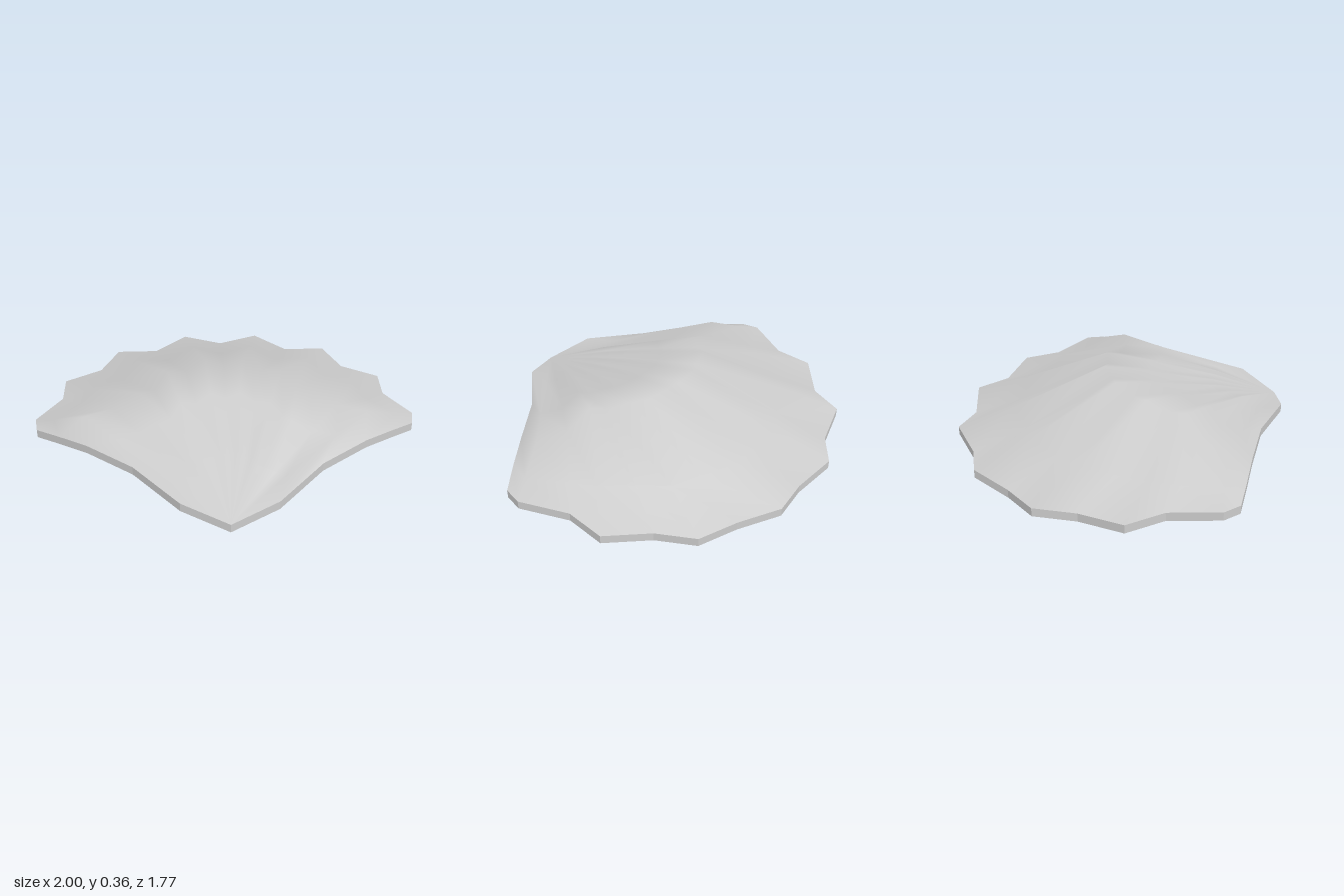
import * as THREE from 'three';

const THICKNESS = 0.045;
const HINGE = new THREE.Vector3(0, 0.075, 0.885);

// Half fan from centre valley to outer edge: crest [x, y, z], rim [x, y, z]
const HALF_FAN = [
  [[0, 0.33, -0.09], [0, 0.045, -0.85]],
  [[0.1, 0.36, -0.11], [0.22, 0.077, -0.885]],
  [[0.2, 0.32, -0.05], [0.4, 0.047, -0.76]],
  [[0.3, 0.34, -0.02], [0.625, 0.08, -0.7]],
  [[0.37, 0.29, 0.08], [0.715, 0.065, -0.51]],
  [[0.43, 0.305, 0.14], [0.9, 0.09, -0.35]],
  [[0.58, 0.235, 0.16], [0.89, 0.1, -0.15]],
  [[0.72, 0.235, 0.23], [1, 0.12, 0.08]],
];

// Free front edge running from the hinge to the widest corner
const FRONT_EDGE = [[0.23, 0.132, 0.797], [0.46, 0.155, 0.55], [0.7, 0.16, 0.375], [0.85, 0.142, 0.27], [0.98, 0.12, 0.175]];

// One spoke: two points on the rise, the crest, one on the fall, the rim
function spoke([crest, rim]) {
  const c = new THREE.Vector3(...crest), r = new THREE.Vector3(...rim);
  const rise = (t, bulge) => HINGE.clone().lerp(c, t).add(new THREE.Vector3(0, bulge, 0));
  const fall = c.clone().lerp(r, 0.62);
  fall.y -= 0.02 * (1 - c.x);
  return [rise(0.38, 0.02), rise(0.75, 0.012), c, fall, r];
}

function geometry(points, index) {
  const g = new THREE.BufferGeometry().setFromPoints(points);
  g.setIndex(index);
  g.computeVertexNormals();
  return g;
}

export function createModel() {
  const group = new THREE.Group();
  group.name = 'scallopShell';
  const material = new THREE.MeshStandardMaterial({ color: 0xcccccc });
  const wallMaterial = new THREE.MeshStandardMaterial({ color: 0xcccccc, flatShading: true });

  // Mirror the half fan into a full one, ordered from -x to +x
  const half = HALF_FAN.map(spoke);
  half.push(FRONT_EDGE.map(p => new THREE.Vector3(...p)));
  const mirrored = half.slice(1).reverse().map(s => s.map(p => new THREE.Vector3(-p.x, p.y, p.z)));
  const spokes = [...mirrored, ...half];
  const rows = FRONT_EDGE.length, last = spokes.length - 1;

  // Ribbed skin: a small fan at the hinge, then quads outwards
  const top = [HINGE, ...spokes.flat()];
  const id = (i, j) => 1 + i * rows + j;
  const faces = [];
  for (let i = 0; i < last; i++) {
    faces.push(0, id(i + 1, 0), id(i, 0));
    for (let j = 0; j < rows - 1; j++) {
      const a = id(i, j), b = id(i + 1, j), c = id(i + 1, j + 1), d = id(i, j + 1);
      faces.push(a, b, d, b, c, d);
    }
  }
  const lower = p => new THREE.Vector3(p.x, p.y - THICKNESS, p.z);
  const outer = new THREE.Mesh(geometry(top, faces), material);
  outer.name = 'outerSurface';
  const inner = new THREE.Mesh(geometry(top.map(lower), [...faces].reverse()), material);
  inner.name = 'innerSurface';

  // Thin wall following the whole scalloped outline
  const outline = [
    HINGE,
    ...spokes[last],
    ...spokes.slice(1, last).reverse().map(s => s[rows - 1]),
    ...[...spokes[0]].reverse(),
  ];
  const n = outline.length, wall = [];
  for (let i = 0; i < n; i++) {
    const k = (i + 1) % n;
    wall.push(n + i, n + k, k, n + i, k, i);
  }
  const rim = new THREE.Mesh(geometry([...outline, ...outline.map(lower)], wall), wallMaterial);
  rim.name = 'rim';

  group.add(outer, inner, rim);
  return group;
}
